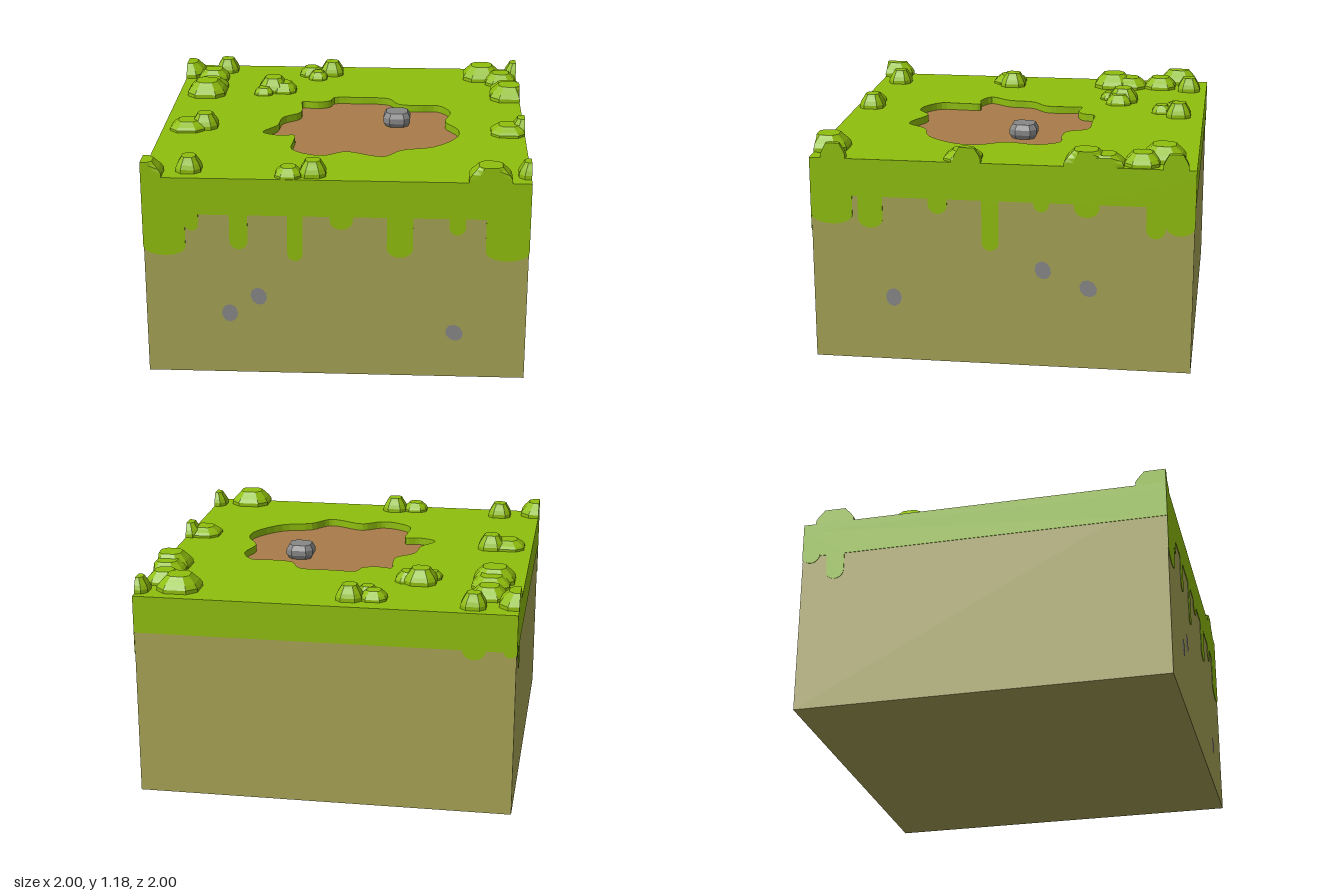
import * as THREE from 'three';

const TOP = 1.1, DIRT = 1.06, SOIL = 0.997;

export function createModel() {
  const model = new THREE.Group();
  const mat = (name, color) => {
    const m = new THREE.MeshStandardMaterial({ color });
    m.name = name;
    return m;
  };
  const grass = mat('grass green', 0x8fbe0d);
  const soil = mat('soil ochre', 0xa6a255);
  const dirt = mat('dirt brown', 0xa97c4a);
  const stone = mat('stone grey', 0x888888);

  const add = (name, geometry, material, parent = model) => {
    const mesh = new THREE.Mesh(geometry, material);
    mesh.name = name;
    parent.add(mesh);
    return mesh;
  };
  const vec = ([x, y]) => new THREE.Vector2(x, y);

  // Soil block
  add('soilBlock', new THREE.BoxGeometry(SOIL * 2, 1.055, SOIL * 2), soil).position.y = 1.055 / 2;

  // Outline of the bare patch, as x and z
  const patchCurve = new THREE.CatmullRomCurve3([
    [-0.26, -0.295], [-0.17, -0.285], [-0.1, -0.32], [-0.08, -0.38], [0.08, -0.385], [0.235, -0.375],
    [0.30, -0.27], [0.41, -0.25], [0.525, -0.255], [0.595, -0.14], [0.565, 0.03], [0.635, 0.17],
    [0.63, 0.29], [0.50, 0.46], [0.33, 0.52], [0.245, 0.62], [0.19, 0.62], [0.03, 0.555],
    [-0.075, 0.62], [-0.16, 0.61], [-0.26, 0.53], [-0.26, 0.40], [-0.265, 0.30], [-0.34, 0.31],
    [-0.44, 0.26], [-0.37, 0.14], [-0.35, 0.0], [-0.26, -0.09], [-0.255, -0.2],
  ].map(([x, z]) => new THREE.Vector3(x, z, 0)), true, 'centripetal');
  const patch = patchCurve.getPoints(116).slice(0, -1).map((p) => new THREE.Vector2(p.x, p.y));

  // Grass slab with the patch cut out
  const slab = new THREE.Shape([[-1, -1], [1, -1], [1, 1], [-1, 1]].map(vec));
  slab.holes.push(new THREE.Path(patch));
  const slabGeometry = new THREE.ExtrudeGeometry(slab, { depth: TOP - DIRT, bevelEnabled: false });
  slabGeometry.rotateX(Math.PI / 2);
  add('grassTop', slabGeometry, grass).position.y = TOP;

  // Dirt floor just under the slab
  const floor = new THREE.BoxGeometry(1.3, 0.005, 1.3);
  add('dirtPatch', floor, dirt).position.set(0.1, DIRT - 0.0025, 0.1);

  // Hanging grass edge for one side: drips are [left, right, bottom]
  function grassEdge(drips) {
    const pts = [[-1, DIRT]];
    let last = -1;
    if (drips[0][0] > -1) pts.push([-1, 0.9]);
    for (const [l, r, b] of drips) {
      if (l > last) pts.push([l, 0.9]);
      const c = (l + r) / 2, w = (r - l) / 2, h = Math.min(w, 0.05);
      for (let i = 0; i <= 10; i++) {
        const a = (i / 10) * Math.PI;
        pts.push([c - w * Math.cos(a), b + h - h * Math.sin(a)]);
      }
      const next = drips[drips.indexOf(drips.find((d) => d[0] === l)) + 1];
      if (r < 1 && !(next && next[0] === r)) pts.push([r, 0.9]);
      last = r;
    }
    if (last < 1) pts.push([1, 0.9]);
    pts.push([1, DIRT]);
    return new THREE.ExtrudeGeometry(new THREE.Shape(pts.map(vec)), { depth: 1 - SOIL, bevelEnabled: false });
  }

  // Four sides with their drips and embedded stones
  const sides = [
    { name: 'front', turn: 0,
      drips: [[-1, -0.78, 0.67], [-0.78, -0.71, 0.81], [-0.55, -0.455, 0.71], [-0.25, -0.17, 0.65],
        [-0.03, 0.09, 0.83], [0.265, 0.40, 0.68], [0.585, 0.67, 0.81], [0.775, 1, 0.67]],
      stones: [[-0.557, 0.345], [-0.403, 0.445], [0.623, 0.257]] },
    { name: 'left', turn: Math.PI / 2,
      drips: [[-1, -0.78, 0.745], [-0.75, -0.62, 0.73], [-0.38, -0.28, 0.82], [-0.1, -0.01, 0.63],
        [0.17, 0.25, 0.85], [0.38, 0.51, 0.83], [0.75, 0.85, 0.73], [0.85, 1, 0.75]],
      stones: [[-0.57, 0.35], [0.22, 0.535], [0.457, 0.445]] },
    { name: 'back', turn: Math.PI, drips: [[0.72, 0.84, 0.85], [0.93, 1, 0.87]], stones: [] },
    { name: 'right', turn: -Math.PI / 2, drips: [[-1, -0.9, 0.86], [-0.86, -0.76, 0.75]], stones: [] },
  ];
  for (const { name, turn, drips, stones } of sides) {
    const side = new THREE.Group();
    side.name = name + 'Side';
    side.rotation.y = turn;
    model.add(side);
    add(name + 'GrassEdge', grassEdge(drips), grass, side).position.z = SOIL;
    stones.forEach(([x, y], i) => {
      const s = add('embeddedStone', new THREE.CircleGeometry(0.045, 9), stone, side);
      s.position.set(x, y, 0.999);
      s.scale.set(0.95, 1.12, 1);
      s.rotation.z = i * 0.4;
    });
  }

  // Faceted mound: square plan with cut corners, trimmed at the tile border
  function mound(profile, x, z, r, y, h) {
    const pts = [...profile, [0, 1]].map(([pr, py]) => new THREE.Vector2(pr * r, y + py * h));
    const g = new THREE.LatheGeometry(pts, 8, Math.PI / 8).toNonIndexed();
    const p = g.attributes.position;
    const limit = (v) => Math.max(-1, Math.min(1, v));
    for (let i = 0; i < p.count; i++) {
      const px = p.getX(i), pz = p.getZ(i), d = Math.hypot(px, pz);
      const square = (v) => Math.sign(v) * d * (Math.abs(v) > d * 0.6 ? 1 : 0.55);
      p.setX(i, limit(x + square(px)));
      p.setZ(i, limit(z + square(pz)));
    }
    g.computeVertexNormals();
    return g;
  }

  // Grass tufts: x, z, radius, height
  const tuftProfile = [[1, 0], [1, 0.25], [0.87, 0.52], [0.66, 0.82], [0.55, 1]];
  const tufts = [
    [-0.835, -0.435, 0.11, 0.08], [-0.825, -0.53, 0.10, 0.06], [-0.83, -0.72, 0.09, 0.065],
    [0.94, -0.435, 0.11, 0.08], [0.935, -0.53, 0.10, 0.06], [0.90, -0.72, 0.09, 0.065],
    [-0.45, -0.52, 0.085, 0.08], [-0.385, -0.5, 0.072, 0.055], [-0.50, -0.44, 0.055, 0.04],
    [-0.2, -0.76, 0.055, 0.045],
    [-0.86, 0.205, 0.095, 0.05], [-0.77, 0.175, 0.072, 0.08],
    [0.91, 0.205, 0.095, 0.05], [1, 0.175, 0.072, 0.08],
  ];
  // Clusters repeated along the back and front borders
  for (const dz of [0, 1.77]) {
    tufts.push(
      [-1, -0.825 + dz, 0.107, 0.08], [-0.765, -0.895 + dz, 0.065, 0.08],
      [-0.245, -0.84 + dz, 0.068, 0.05], [-0.12, -0.86 + dz, 0.068, 0.08],
      [0.79, -0.825 + dz, 0.11, 0.08], [1, -0.895 + dz, 0.065, 0.08],
    );
  }
  for (const [x, z, r, h] of tufts) add('grassTuft', mound(tuftProfile, x, z, r, TOP, h), grass);

  // Loose rock on the bare patch
  const rockProfile = [[0.82, 0], [1, 0.3], [1, 0.65], [0.8, 1]];
  add('rock', mound(rockProfile, 0.293, -0.03, 0.075, DIRT, 0.08), stone);

  return model;
}
